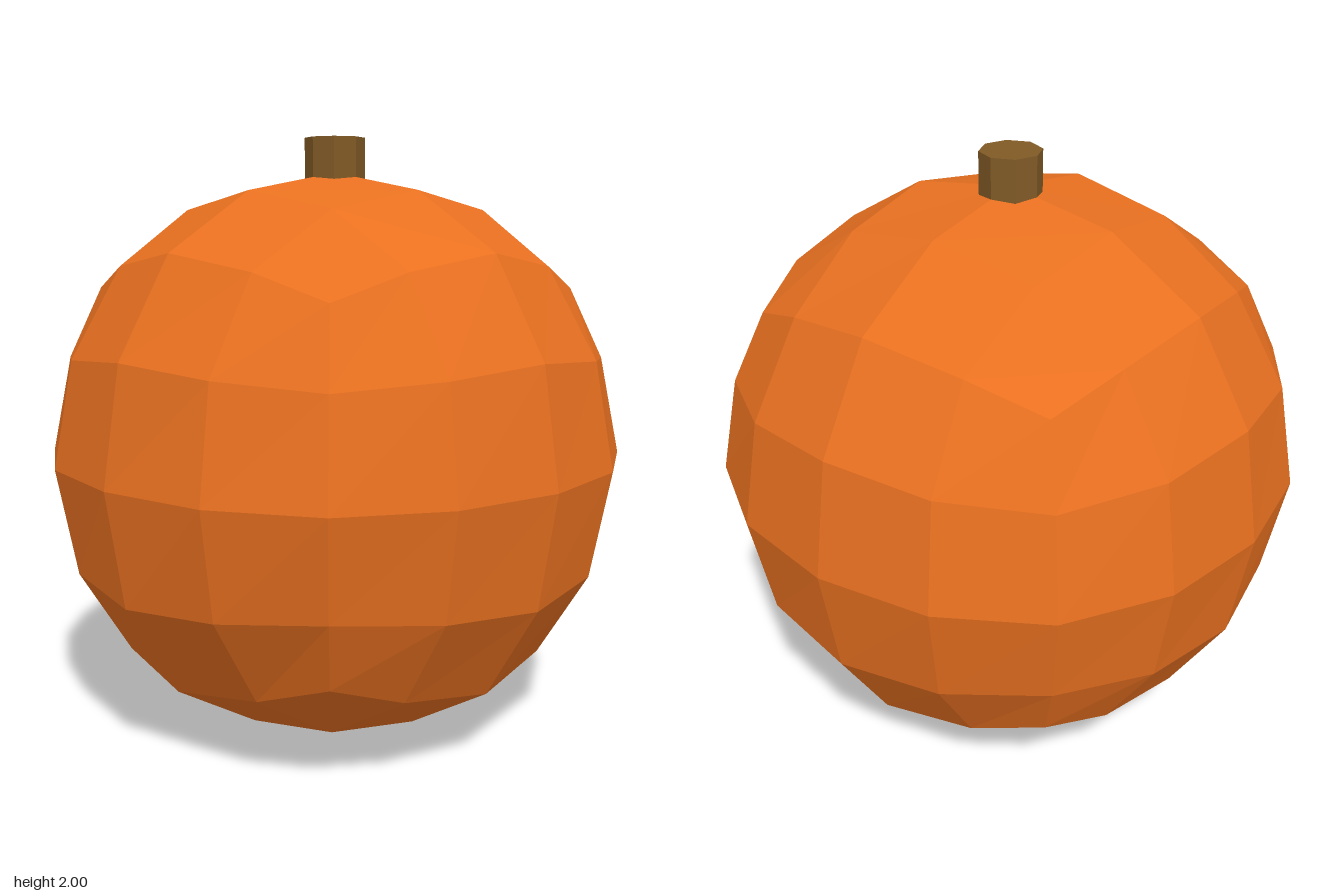
import * as THREE from 'three';

const CENTRE_Y = 0.944;

// Rounded position of each cube grid point, keyed by its sorted levels (0 middle, 1 halfway, 2 edge).
// Each row gives the coordinate that replaces level 0, 1 and 2.
const ROUNDED = {
  '002': [0, 0, 0.943],
  '012': [0, 0.375, 0.88],
  '022': [0, 0, 0.69],
  '112': [0, 0.35, 0.82],
  '122': [0, 0.326, 0.642],
  '222': [0, 0, 0.562],
};

// Ball made from a 4 x 4 x 4 cube grid, its corners drawn in to a faceted sphere
function createBody() {
  const geometry = new THREE.BoxGeometry(4, 4, 4, 4, 4, 4);
  const position = geometry.attributes.position;
  for (let i = 0; i < position.count; i++) {
    const p = [position.getX(i), position.getY(i), position.getZ(i)].map(Math.round);
    const row = ROUNDED[p.map(Math.abs).sort().join('')];
    position.setXYZ(i, ...p.map((v) => Math.sign(v) * row[Math.abs(v)]));
  }
  geometry.computeVertexNormals();
  const body = new THREE.Mesh(
    geometry,
    new THREE.MeshStandardMaterial({ color: 0xe87020, flatShading: true })
  );
  body.name = 'body';
  body.position.y = CENTRE_Y;
  return body;
}

// Short eight-sided stem sunk slightly into the top
function createStem() {
  const bottom = 1.8;
  const stem = new THREE.Mesh(
    new THREE.CylinderGeometry(0.1, 0.1, 2 - bottom, 8),
    new THREE.MeshStandardMaterial({ color: 0x805a26, flatShading: true })
  );
  stem.name = 'stem';
  stem.position.y = (2 + bottom) / 2;
  return stem;
}

export function createModel() {
  const model = new THREE.Group();
  model.name = 'pumpkin';
  model.add(createBody(), createStem());
  return model;
}
